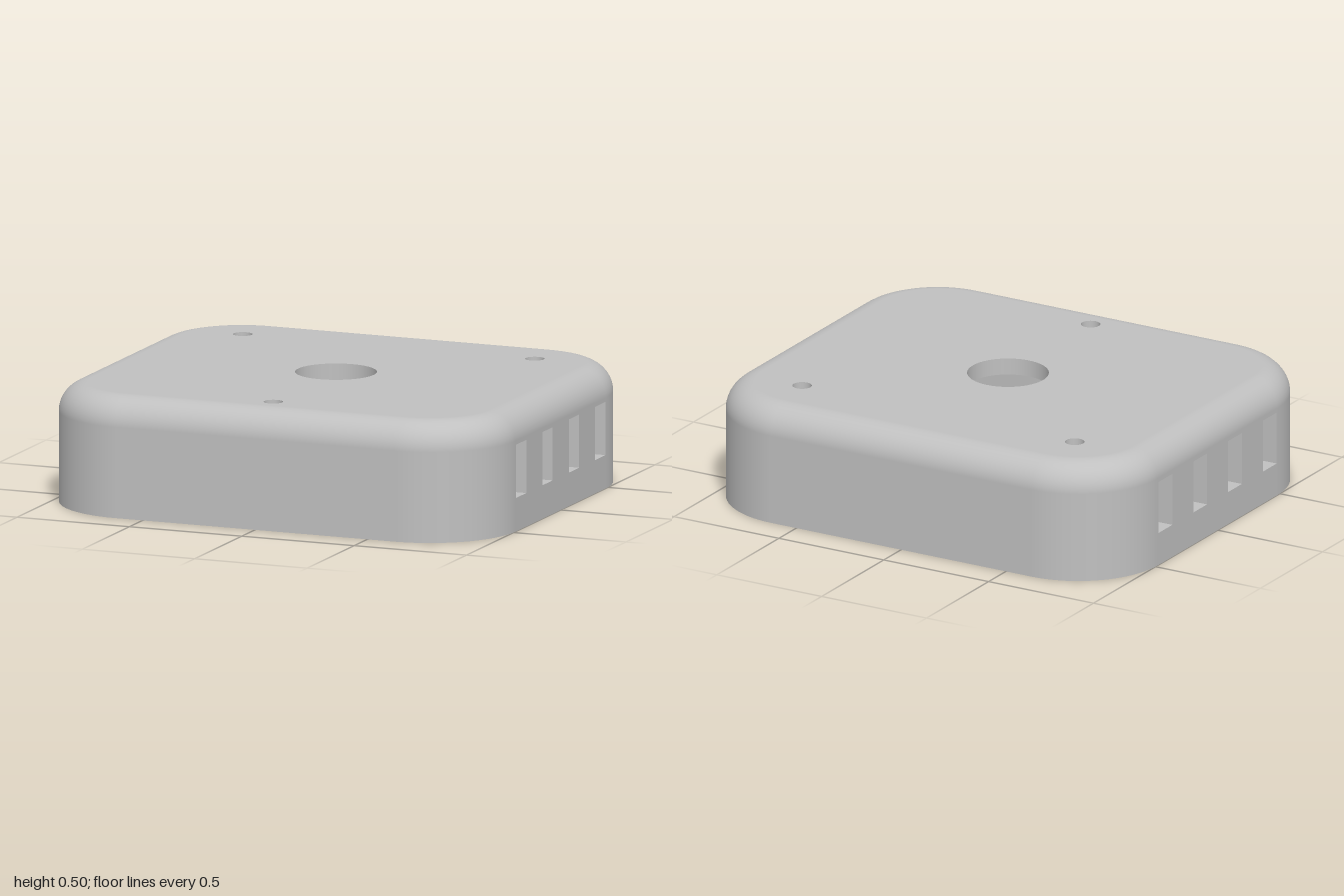
import * as THREE from 'three';

const HX = 1, HZ = 0.86, H = 0.5;        // half width, half depth, height
const R = 0.38, F = 0.12, T = 0.07;      // corner radius, top fillet, wall thickness
const N = 20, M = 10;                    // corner and fillet segments
const SLOTS = [-0.42, -0.14, 0.14, 0.42];
const HOLES = [[0, 0, 0.168], [-0.65, -0.56, 0.04], [0.65, -0.56, 0.04], [0, 0.665, 0.04]];

// Directions and arc centres around the rounded rectangle
const outline = [];
[[1, 1], [-1, 1], [-1, -1], [1, -1]].forEach(([sx, sz], k) => {
  for (let i = 0; i <= N; i++) {
    const a = (k + i / N) * Math.PI / 2;
    outline.push({ dx: Math.cos(a), dz: Math.sin(a), cx: sx * (HX - R), cz: sz * (HZ - R) });
  }
});

// Sweep a profile of [inset, y, normalOut, normalY] around the outline
function sweep(profile, slotted) {
  const pos = [], nor = [], idx = [], P = outline.length;
  for (const [inset, y, no, ny] of profile) {
    for (const o of outline) {
      pos.push(o.cx + o.dx * (R - inset), y, o.cz + o.dz * (R - inset));
      nor.push(o.dx * no, ny, o.dz * no);
    }
  }
  for (let r = 0; r < profile.length - 1; r++) {
    for (let j = 0; j < P; j++) {
      const onSide = j === 2 * N + 1 || j === P - 1;
      if (slotted && onSide && Math.max(profile[r][1], profile[r + 1][1]) < H - F + 0.001) continue;
      const k = (j + 1) % P, a = r * P + j, b = r * P + k;
      idx.push(a, a + P, b + P, a, b + P, b);
    }
  }
  const g = new THREE.BufferGeometry();
  g.setAttribute('position', new THREE.Float32BufferAttribute(pos, 3));
  g.setAttribute('normal', new THREE.Float32BufferAttribute(nor, 3));
  g.setIndex(idx);
  return g;
}

// Quarter-round profile from the wall up to the flat roof
function fillet(inset, radius, sign) {
  const pts = [];
  for (let i = 0; i <= M; i++) {
    const a = i / M * Math.PI / 2, c = Math.cos(a), s = Math.sin(a);
    pts.push([F - radius * c, H - F + radius * s, sign * c, sign * s]);
  }
  return [[inset, 0, sign, 0], ...pts];
}

// Flat roof with its round holes; s mirrors the drawing for the underside
function roofShape(s) {
  const shape = new THREE.Shape(outline.map(o =>
    new THREE.Vector2(o.cx + o.dx * (R - F), s * (o.cz + o.dz * (R - F)))));
  for (const [x, z, r] of HOLES) {
    shape.holes.push(new THREE.Path().absarc(x, s * z, r, 0, Math.PI * 2, true));
  }
  return new THREE.ShapeGeometry(shape, 24);
}

function rectangle(path, x0, x1, y0, y1) {
  path.moveTo(x0, y0).lineTo(x1, y0).lineTo(x1, y1).lineTo(x0, y1).lineTo(x0, y0);
  return path;
}

const SW = 0.055, S0 = 0.14, S1 = 0.363; // slot half width, bottom, top

function slottedPanel() {
  const shape = rectangle(new THREE.Shape(), R - HZ, HZ - R, 0, H - F);
  for (const z of SLOTS) shape.holes.push(rectangle(new THREE.Path(), z - SW, z + SW, S0, S1));
  return new THREE.ShapeGeometry(shape);
}

export function createModel() {
  const group = new THREE.Group();
  const grey = new THREE.MeshStandardMaterial({ color: 0xc0c0c0, side: THREE.DoubleSide });
  grey.name = 'grey plastic';
  const add = (name, geometry) => {
    const mesh = new THREE.Mesh(geometry, grey);
    mesh.name = name;
    group.add(mesh);
    return mesh;
  };

  // Shell: outside, inside and bottom rim
  add('outerShell', sweep(fillet(0, F, 1), true));
  add('innerShell', sweep(fillet(T, F - T, -1).reverse(), true));
  add('bottomRim', sweep([[T, 0, 0, -1], [0, 0, 0, -1]], false));

  // Roof, top and underside
  add('roofTop', roofShape(-1).rotateX(-Math.PI / 2).translate(0, H, 0));
  add('roofUnderside', roofShape(1).rotateX(Math.PI / 2).translate(0, H - T, 0));

  // Walls of the round holes
  HOLES.forEach(([x, z, r], i) => {
    add(i ? 'screwHole' : 'centreHole', new THREE.CylinderGeometry(r, r, T, 48, 1, true))
      .position.set(x, H - T / 2, z);
  });

  // Slotted side walls, with four vents on each side
  for (const s of [1, -1]) {
    const side = s > 0 ? 'left' : 'right';
    add(side + 'WallOutside', slottedPanel().rotateY(s * Math.PI / 2).translate(s * HX, 0, 0));
    add(side + 'WallInside', slottedPanel().rotateY(-s * Math.PI / 2).translate(s * (HX - T), 0, 0));
    for (const z of SLOTS) {
      const box = new THREE.BoxGeometry(T, S1 - S0, SW * 2);
      box.setIndex(Array.from(box.index.array).slice(12)); // open at both x ends
      box.clearGroups();
      add(side + 'VentSlot', box).position.set(s * (HX - T / 2), (S0 + S1) / 2, z);
    }
  }
  return group;
}
